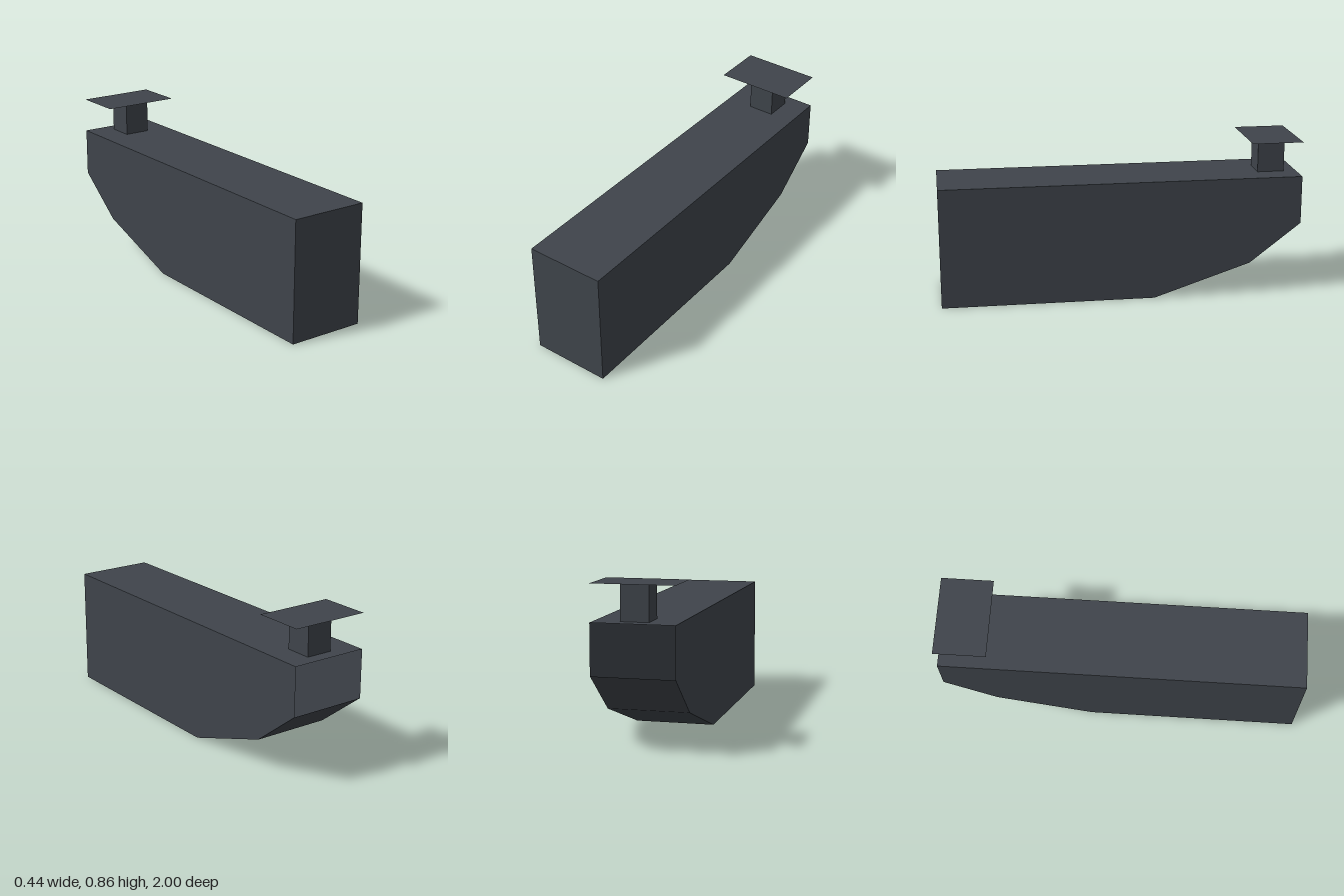
import * as THREE from 'three';

const W = 0.218, TOP = 0.667, PLATE_Y = 0.86;
// lower outline of the hull as [z, y], from the front top round to the open back
const KEEL = [[1, TOP], [1, 0], [-0.175, 0], [-0.715, 0.18], [-1, 0.4]];
// post footprint
const POST = { x0: -0.066, x1: 0.082, z0: -0.93, z1: -0.78 };

export function createModel() {
  const model = new THREE.Group();
  const slate = new THREE.MeshStandardMaterial({ color: 0x3f444b, side: THREE.DoubleSide });
  slate.name = 'darkSlate';

  const add = (name, geometry) => {
    const mesh = new THREE.Mesh(geometry, slate);
    mesh.name = name;
    model.add(mesh);
    return mesh;
  };

  // front, floor and sloping panels swept across the width
  const pos = [];
  for (let i = 0; i < KEEL.length - 1; i++) {
    const [az, ay] = KEEL[i], [bz, by] = KEEL[i + 1];
    pos.push(-W, ay, az, -W, by, bz, W, by, bz);
    pos.push(-W, ay, az, W, by, bz, W, ay, az);
  }
  const shell = new THREE.BufferGeometry();
  shell.setAttribute('position', new THREE.Float32BufferAttribute(pos, 3));
  shell.computeVertexNormals();
  add('frontAndFloor', shell);

  // side walls
  for (const side of [1, -1]) {
    const outline = [...KEEL, [-1, TOP]].map(([z, y]) => new THREE.Vector2(-side * z, y));
    const wall = new THREE.ShapeGeometry(new THREE.Shape(outline));
    wall.rotateY(side * Math.PI / 2).translate(side * W, 0, 0);
    add(side > 0 ? 'leftWall' : 'rightWall', wall);
  }

  // top deck with a hole under the hollow post
  const rect = (x0, x1, z0, z1) => [[x0, -z1], [x1, -z1], [x1, -z0], [x0, -z0]]
    .map(([x, y]) => new THREE.Vector2(x, y));
  const deck = new THREE.Shape(rect(-W, W, -1, 1));
  deck.holes.push(new THREE.Path(rect(POST.x0, POST.x1, POST.z0, POST.z1)));
  add('topDeck', new THREE.ShapeGeometry(deck).rotateX(-Math.PI / 2).translate(0, TOP, 0));

  // four walls of the post
  const dx = POST.x1 - POST.x0, dz = POST.z1 - POST.z0, h = PLATE_Y - TOP;
  for (let i = 0; i < 4; i++) {
    const wide = i % 2 === 0;
    const wall = new THREE.PlaneGeometry(wide ? dx : dz, h);
    wall.translate(0, 0, (wide ? dz : dx) / 2).rotateY(i * Math.PI / 2);
    wall.translate((POST.x0 + POST.x1) / 2, TOP + h / 2, (POST.z0 + POST.z1) / 2);
    add('postWall', wall);
  }

  // thin plate on the post
  add('topPlate', new THREE.PlaneGeometry(2 * W, 0.285).rotateX(-Math.PI / 2))
    .position.set(0, PLATE_Y, -0.8575);

  return model;
}
